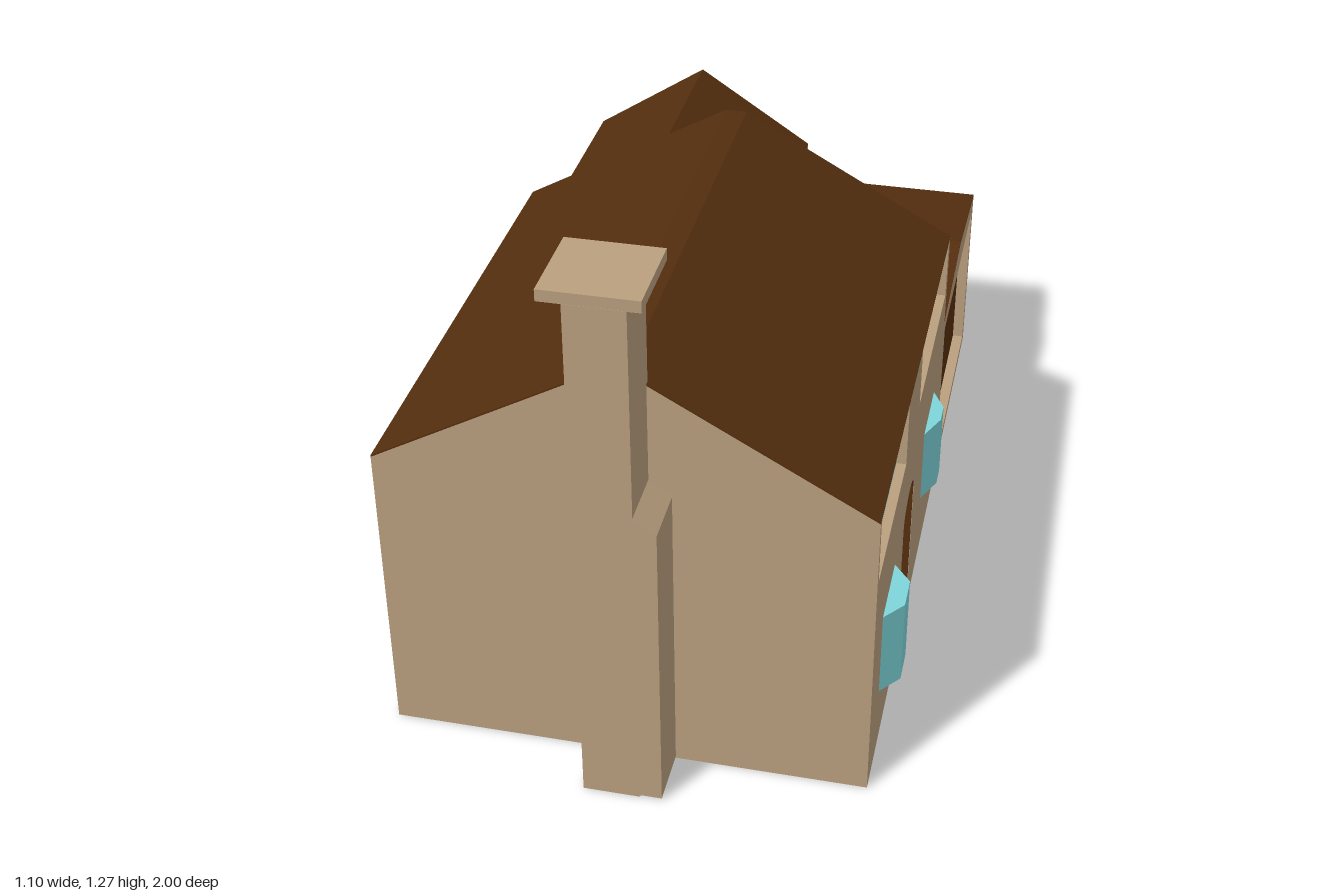
import * as THREE from 'three';

const mat = (color) => new THREE.MeshStandardMaterial({ color, flatShading: true });

export function createModel() {
  const house = new THREE.Group();
  const stone = mat(0xb99f7e), brown = mat(0x542e0e), glass = mat(0x7dd5da), red = mat(0xc86a6a);
  const T = 0.004; // roof skin thickness

  const add = (name, geo, material) => {
    const m = new THREE.Mesh(geo, material);
    m.name = name;
    house.add(m);
    return m;
  };
  const toShape = (pts) => new THREE.Shape(pts.map(([a, b]) => new THREE.Vector2(a, b)));
  const extrude = (shape, depth) =>
    new THREE.ExtrudeGeometry(shape, { depth, bevelEnabled: false, curveSegments: 10 });
  // (x, y) outline swept from z0 to z1
  const alongZ = (shape, z0, z1) => extrude(shape, z1 - z0).translate(0, 0, z0);
  // (-z, y) outline swept from x0 to x1
  const alongX = (shape, x0, x1) => extrude(shape, x1 - x0).rotateY(Math.PI / 2).translate(x0, 0, 0);
  const box = (name, x0, x1, y0, y1, z0, z1, material) =>
    add(name, new THREE.BoxGeometry(x1 - x0, y1 - y0, z1 - z0)
      .translate((x0 + x1) / 2, (y0 + y1) / 2, (z0 + z1) / 2), material);
  const lower = (pts) => pts.map(([a, b]) => [a, b - T]);
  const skin = (pts) => toShape([...pts, ...lower(pts).reverse()]);
  // rounded-top door outline in (-z, y)
  const arch = (z0, z1, y0, spring, top, P = THREE.Shape) => {
    const p = new P(), c = -(z0 + z1) / 2, r = (z1 - z0) / 2;
    p.moveTo(-z1, y0);
    p.lineTo(-z0, y0);
    p.lineTo(-z0, spring);
    p.absellipse(c, spring, r, top - spring, 0, Math.PI, false, 0);
    p.lineTo(-z1, y0);
    return p;
  };

  const L = -0.55, R = 0.51, IN = 0.48;       // outer walls, recessed plane
  const F = 0.835, M = -0.325, B = -1;        // front, dividing and back walls

  // Main house core and roof
  const mainTop = [[R, 0.717], [0, 1], [-0.05, 1], [L, 0.717]];
  add('mainHouse', alongZ(toShape([[L, 0], [IN, 0], [IN, 0.713], ...lower(mainTop)]), M, F), stone);
  add('mainRoof', alongZ(skin(mainTop), M, F), brown);

  // Entrance wall, notched for the upper windows and pierced by the door
  const upper = [[0.41, 0.82, 0.555], [-0.295, 0.19, 0.565]];
  const top = 0.713;
  const outline = [[-F, 0], [-M, 0], [-M, top]];
  for (const [z0, z1, y] of [...upper].reverse()) {
    outline.push([-z0, top], [-z0, y], [-z1, y], [-z1, top]);
  }
  outline.push([-F, top]);
  const wall = toShape(outline);
  wall.holes.push(arch(0.21, 0.38, 0.02, 0.35, 0.4, THREE.Path));
  add('entranceWall', alongX(wall, IN, R), stone);
  for (const [z0, z1, y] of upper) {
    box('upperWindow', IN - 0.01, IN + 0.008, y - 0.005, top, z0 - 0.005, z1 + 0.005, glass);
  }

  // Door and its dark lining
  add('door', alongX(arch(0.21, 0.38, 0.02, 0.35, 0.4), IN - 0.01, IN + 0.003), red);
  const lining = arch(0.21, 0.38, 0.02, 0.35, 0.4);
  lining.holes.push(arch(0.213, 0.377, 0.022, 0.35, 0.397, THREE.Path));
  add('doorLining', alongX(lining, IN, R - 0.001), brown);

  // Bay windows: wall z range, front z range, heights, reach
  const bays = [
    [0.525, 0.705, 0.575, 0.655, 0.16, 0.367, 0.55],
    [-0.16, 0.025, -0.1, -0.045, 0.178, 0.367, 0.541],
  ];
  for (const [z0, z1, f0, f1, y0, y1, x] of bays) {
    const plan = toShape([[R - 0.01, -z1], [R, -z1], [x, -f1], [x, -f0], [R, -z0], [R - 0.01, -z0]]);
    add('bayWindow', extrude(plan, y1 - y0).rotateX(-Math.PI / 2).translate(0, y0, 0), glass);
  }

  // Rear wing with its ridge along z
  const S = 0.04;
  const wingTop = [[S, 0.58], [-0.26, 0.777], [L, 0.587]];
  add('rearWing', alongZ(toShape([[L, 0], [S, 0], ...lower(wingTop)]), B, M), stone);
  add('rearWingRoof', alongZ(skin(wingTop), B, M), brown);

  // Garage with a low ridge along x
  const garageTop = [[-B, 0.472], [0.665, 0.51], [-M, 0.472]];
  const garageOutline = [[-M, 0], [-B, 0], ...lower(garageTop)];
  add('garage', alongX(toShape(garageOutline), S, IN), stone);
  add('garageRoof', alongX(skin(garageTop), S, R), brown);
  const front = toShape(garageOutline);
  front.holes.push(new THREE.Path([[0.352, 0.022], [0.352, 0.433], [0.972, 0.433], [0.972, 0.022]]
    .map(([a, b]) => new THREE.Vector2(a, b))));
  add('garageFront', alongX(front, IN, R), stone);
  box('garageDoor', IN - 0.01, IN + 0.003, 0.02, 0.435, -0.975, -0.35, brown);

  // Chimney stack, sloped shoulder and flared cap
  const c0 = -0.085, c1 = 0.04, cz = 0.9025;
  box('chimneyStack', c0, c1, 0, 1.23, F - 0.01, 0.965, stone);
  add('chimneyShoulder',
    alongZ(toShape([[c1 - 0.01, 0.005], [0.088, 0.005], [0.088, 0.712], [c1, 0.748], [c1 - 0.01, 0.748]]), F - 0.01, 0.965), stone);
  const flare = new THREE.CylinderGeometry(0.196 * Math.SQRT1_2, 0.125 * Math.SQRT1_2, 0.02, 4)
    .rotateY(Math.PI / 4).translate(-0.0225, 1.235, cz);
  add('chimneyFlare', flare, stone);
  box('chimneyCap', -0.123, 0.078, 1.245, 1.27, 0.805, 1, stone);

  return house;
}
